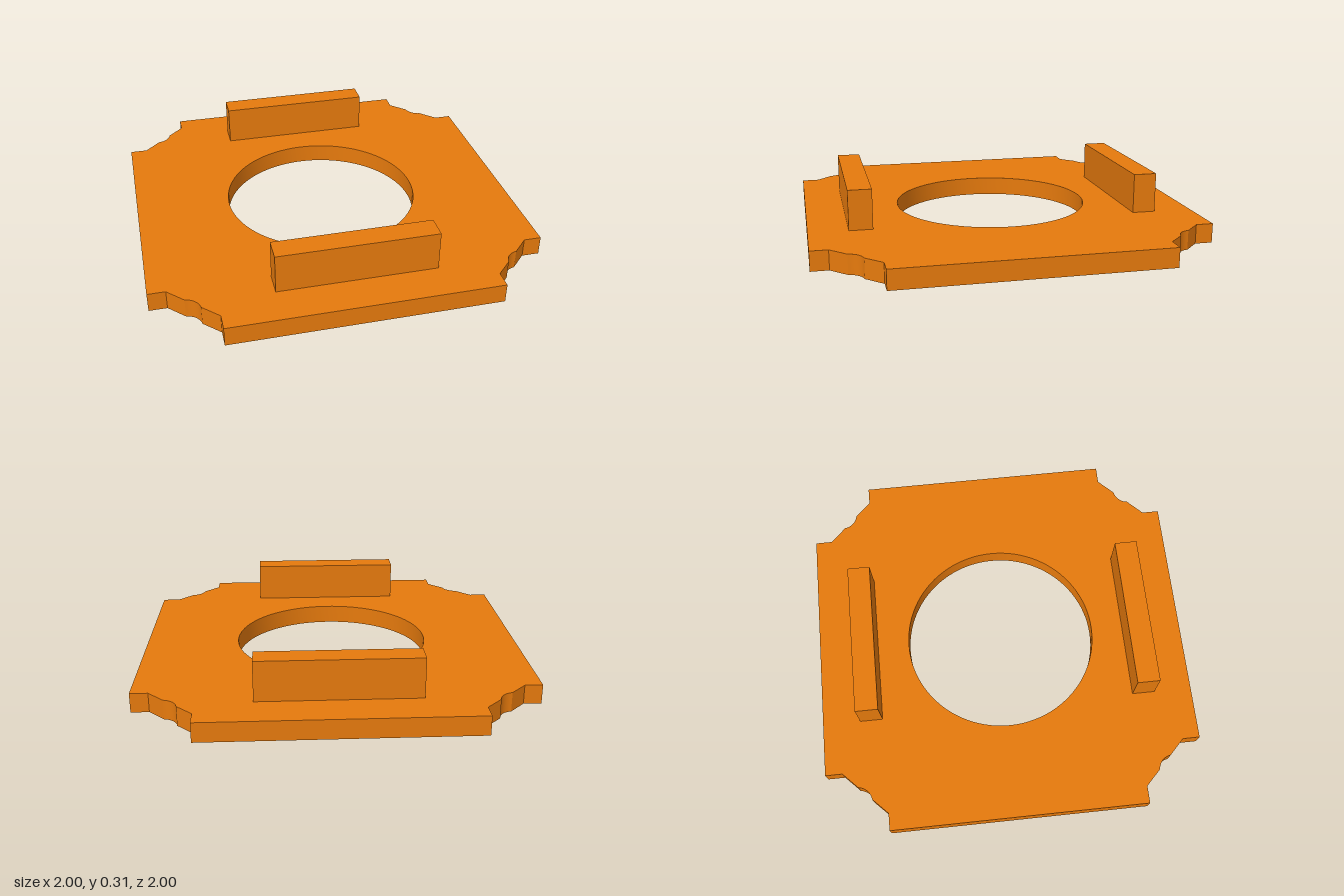
import * as THREE from 'three';
import { toCreasedNormals } from 'three/addons/utils/BufferGeometryUtils.js';

const THICK = 0.1;
const material = new THREE.MeshStandardMaterial({ color: 0xe67a0d });

// One notched corner, counter-clockwise: steps, chamfers and a round bite between them
function cornerPoints() {
  const pts = [[1, 0.68], [0.91, 0.68]];
  const c = 0.84, r = 0.08, a0 = Math.atan2(-0.08, -0.01), a1 = Math.atan2(-0.01, -0.08);
  const steps = 10;
  for (let i = 0; i <= steps; i++) {
    const a = a0 + (a1 - a0) * i / steps;
    pts.push([c + r * Math.cos(a), c + r * Math.sin(a)]);
  }
  pts.push([0.68, 0.91], [0.68, 1]);
  return pts.map(([x, y]) => new THREE.Vector2(x, y));
}

export function createModel() {
  const model = new THREE.Group();
  model.name = 'mountingPlate';

  // Base plate: the corner turned four times, with a round hole
  const outline = [];
  for (let k = 0; k < 4; k++) {
    for (const p of cornerPoints()) {
      outline.push(p.rotateAround(new THREE.Vector2(), k * Math.PI / 2));
    }
  }
  const shape = new THREE.Shape(outline);
  shape.holes.push(new THREE.Path().absarc(0, 0, 0.51, 0, Math.PI * 2, true));
  const plateGeo = new THREE.ExtrudeGeometry(shape, { depth: THICK, bevelEnabled: false, curveSegments: 48 });
  plateGeo.rotateX(-Math.PI / 2);
  const plate = new THREE.Mesh(toCreasedNormals(plateGeo, 0.4), material);
  plate.name = 'basePlate';
  model.add(plate);

  // Upright bars near the front and back edges
  const height = 0.205;
  for (const [name, side] of [['frontBar', 1], ['backBar', -1]]) {
    const bar = new THREE.Mesh(new THREE.BoxGeometry(0.81, height, 0.12), material);
    bar.position.set(0, THICK + height / 2, side * 0.74);
    bar.name = name;
    model.add(bar);
  }
  return model;
}
